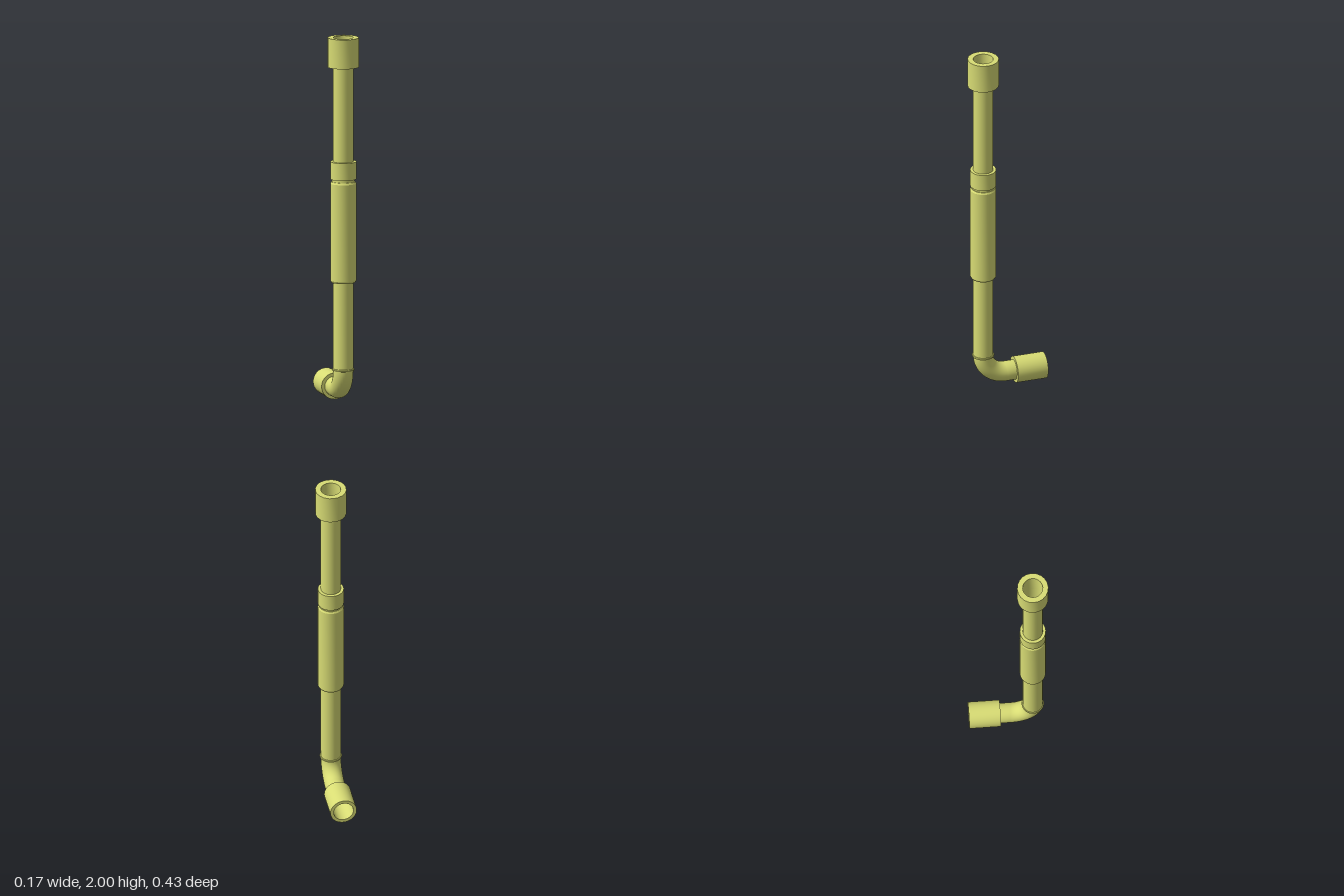
import * as THREE from 'three';
import { toCreasedNormals } from 'three/addons/utils/BufferGeometryUtils.js';

const PIPE_R = 0.054;   // pipe radius
const AXIS_Z = 0.13;    // z of the upright run
const AXIS_Y = 0.072;   // y of the horizontal run
const BEND = 0.12;      // bend radius of the elbow
const SIDES = 32;

export function createModel() {
  const group = new THREE.Group();
  const material = new THREE.MeshStandardMaterial({ color: 0xd8dc74, side: THREE.DoubleSide });

  const add = (name, geometry, y, z, horizontal = false) => {
    const mesh = new THREE.Mesh(geometry, material);
    mesh.name = name;
    mesh.position.set(0, y, z);
    if (horizontal) mesh.rotation.x = -Math.PI / 2; // local +y runs backwards
    group.add(mesh);
    return mesh;
  };

  // Turned part from [radius, height] pairs, with crisp edges
  const turned = (profile, sides = SIDES) => toCreasedNormals(
    new THREE.LatheGeometry(profile.map(([r, h]) => new THREE.Vector2(r, h)), sides), 0.5);

  // Hollow collar, closed at both rims
  const collar = (r, length, sides) => turned(
    [[PIPE_R, 0], [r, 0], [r, length], [PIPE_R, length], [PIPE_R, 0]], sides);

  // Open pipe wall
  const pipe = (length) => turned([[PIPE_R, 0], [PIPE_R, length]]);

  // Upright run
  const elbowTop = AXIS_Y + BEND;
  add('uprightPipe', pipe(1.84 - elbowTop), elbowTop, AXIS_Z);
  add('topSocket', collar(0.084, 0.16, 20), 1.84, AXIS_Z);
  add('middleCollar', collar(0.07, 0.095), 1.23, AXIS_Z);

  // Long sleeve with chamfered ends
  add('sleeve', turned([
    [PIPE_R, 0], [0.064, 0], [0.07, 0.01], [0.07, 0.538],
    [0.064, 0.548], [PIPE_R, 0.548],
  ]), 0.668, AXIS_Z);

  // Narrow neck between sleeve and collar
  add('neck', collar(0.06, 0.014), 1.216, AXIS_Z);

  // Bead at the top of the elbow
  add('elbowBead', turned([
    [PIPE_R, 0], [0.058, 0.001], [0.06, 0.006], [0.058, 0.011], [PIPE_R, 0.012],
  ]), 0.186, AXIS_Z);

  // Quarter bend from upright to backwards
  const elbow = add('elbow',
    new THREE.TorusGeometry(BEND, PIPE_R, SIDES, 20, Math.PI / 2), elbowTop, AXIS_Z - BEND);
  elbow.rotation.set(Math.PI, Math.PI / 2, 0);

  // Horizontal run
  add('outletPipe', pipe(0.055), AXIS_Y, AXIS_Z - BEND, true);
  add('outletSocket', collar(0.072, 0.17), AXIS_Y, -0.045, true);

  return group;
}
